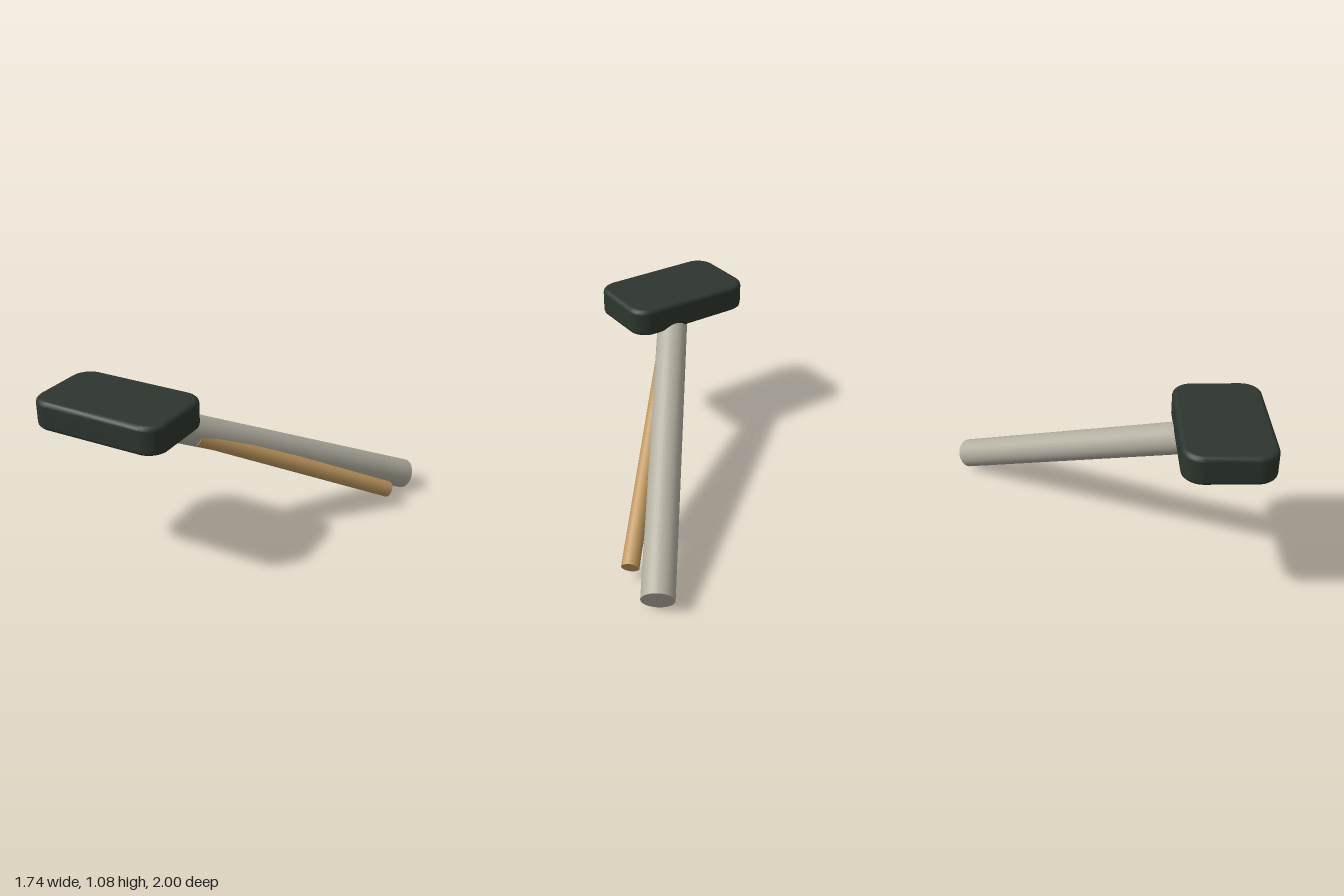
import * as THREE from 'three';
import { mergeVertices } from 'three/addons/utils/BufferGeometryUtils.js';

const paint = (name, color) => {
  const m = new THREE.MeshStandardMaterial({ color });
  m.name = name;
  return m;
};

// Straight round bar between two points
function bar(name, a, b, radius, sides, material) {
  const from = new THREE.Vector3(...a), to = new THREE.Vector3(...b);
  const dir = to.clone().sub(from);
  const mesh = new THREE.Mesh(new THREE.CylinderGeometry(radius, radius, dir.length(), sides), material);
  mesh.position.copy(from).add(to).multiplyScalar(0.5);
  mesh.quaternion.setFromUnitVectors(new THREE.Vector3(0, 1, 0), dir.normalize());
  mesh.name = name;
  return mesh;
}

// Slab with rounded plan corners and softened rims, standing on y = 0
function softSlab(width, height, depth, corner, bevel) {
  const x = width / 2 - bevel, y = depth / 2 - bevel, r = corner - bevel;
  const s = new THREE.Shape();
  s.absarc(x - r, y - r, r, 0, Math.PI / 2);
  s.absarc(-x + r, y - r, r, Math.PI / 2, Math.PI);
  s.absarc(-x + r, -y + r, r, Math.PI, Math.PI * 1.5);
  s.absarc(x - r, -y + r, r, Math.PI * 1.5, Math.PI * 2);
  const g = new THREE.ExtrudeGeometry(s, {
    depth: height - 2 * bevel, bevelEnabled: true, bevelSize: bevel,
    bevelThickness: bevel, bevelSegments: 3, curveSegments: 8,
  });
  g.translate(0, 0, bevel);
  g.rotateX(-Math.PI / 2);
  g.deleteAttribute('uv');
  g.deleteAttribute('normal');
  const smooth = mergeVertices(g, 1e-4);
  smooth.computeVertexNormals();
  return smooth;
}

export function createModel() {
  const group = new THREE.Group();
  const darkGreen = paint('dark green', 0x2d362e);
  const paleGrey = paint('pale grey', 0xb0ad9e);
  const wood = paint('wood', 0xc0985e);

  // Rounded head block
  const head = new THREE.Mesh(softSlab(0.885, 0.18, 0.545, 0.125, 0.028), darkGreen);
  head.position.set(-0.428, 0.9, 0.726);
  head.name = 'head';
  group.add(head);

  // Long sloping pole and the thinner rod that runs into its side
  group.add(bar('pole', [0.781, 0.094, -0.933], [-0.43, 0.966, 0.715], 0.1, 32, paleGrey));
  group.add(bar('sideRod', [0.78, 0.115, -0.635], [-0.11, 0.738, 0.362], 0.054, 12, wood));
  return group;
}
